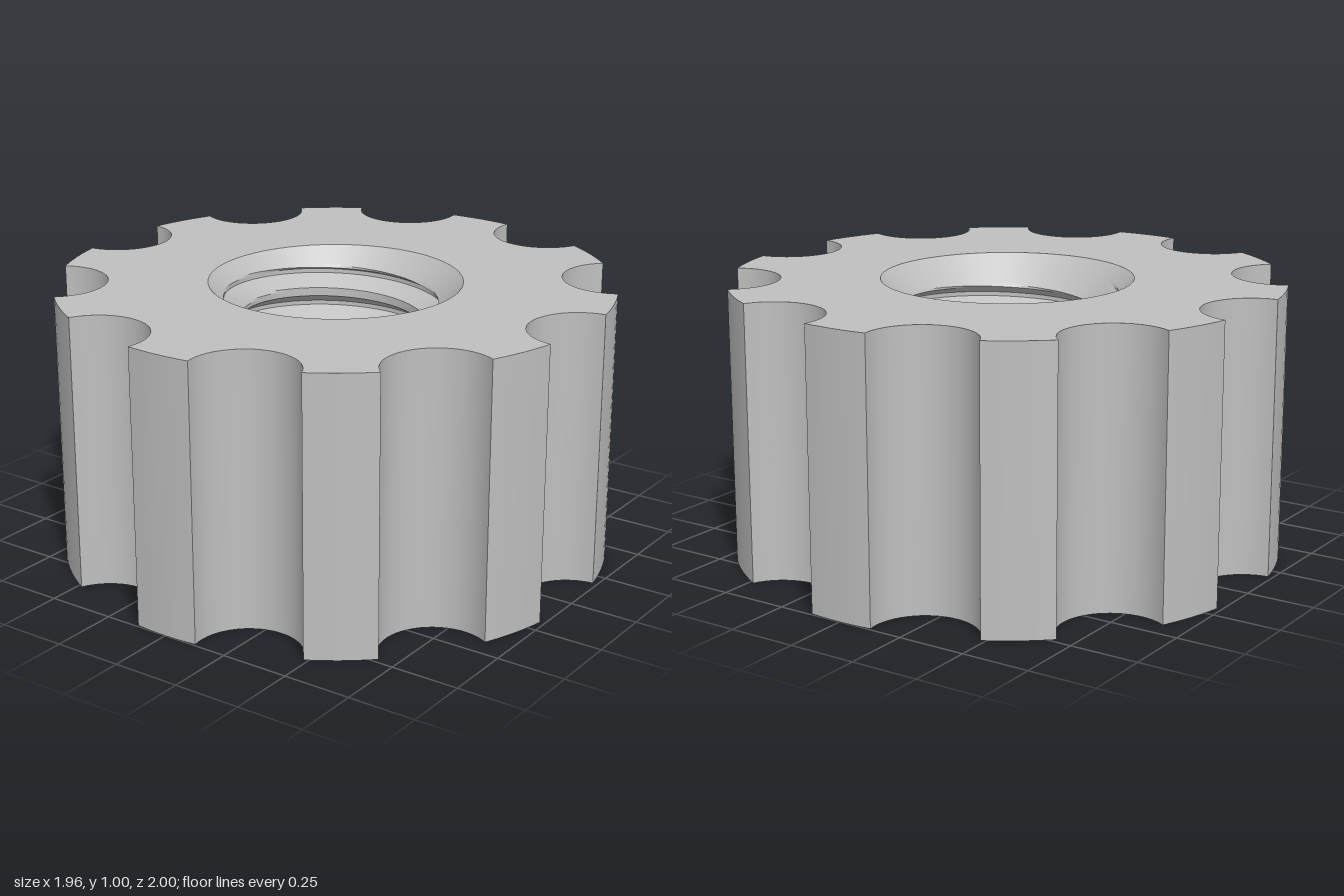
import * as THREE from 'three';
import { toCreasedNormals } from 'three/addons/utils/BufferGeometryUtils.js';

const HEIGHT = 1, NOTCHES = 10, NOTCH_R = 0.19;
const MOUTH_R = 0.455, ROOT_R = 0.4, CREST_R = 0.332, PITCH = 0.125, THREAD_SEGS = 120;

// Sheet of quads over point(i, j); empty triangles are dropped
function sheet(cols, rows, point, inward = false) {
  const positions = [];
  const tri = new THREE.Triangle();
  const add = (a, b, c) => {
    if (tri.set(a, b, c).getArea() < 1e-9) return;
    for (const p of inward ? [a, c, b] : [a, b, c]) positions.push(p.x, p.y, p.z);
  };
  for (let i = 0; i < cols; i++) {
    for (let j = 0; j < rows; j++) {
      const a = point(i, j), b = point(i + 1, j), c = point(i + 1, j + 1), d = point(i, j + 1);
      add(a, b, c);
      add(a, c, d);
    }
  }
  const geometry = new THREE.BufferGeometry();
  geometry.setAttribute('position', new THREE.Float32BufferAttribute(positions, 3));
  return toCreasedNormals(geometry, 0.4);
}

// Round outline with scooped finger notches
function gripOutline() {
  const points = [];
  const step = (Math.PI * 2) / NOTCHES;
  const half = 2 * Math.asin(NOTCH_R / 2); // half the notch opening, seen from the axis
  const sweep = Math.PI / 2 + half / 2;
  for (let n = 0; n < NOTCHES; n++) {
    const a = n * step;
    for (let k = 0; k <= 24; k++) {
      const t = a - sweep - (k / 24) * 2 * (Math.PI - sweep);
      points.push(new THREE.Vector2(Math.cos(a) + NOTCH_R * Math.cos(t), Math.sin(a) + NOTCH_R * Math.sin(t)));
    }
    for (let k = 1; k < 6; k++) {
      const t = a + half + (k / 6) * (step - 2 * half);
      points.push(new THREE.Vector2(Math.cos(t), Math.sin(t)));
    }
  }
  return points;
}

// Thread radius over one pitch in sixteenths: root, flank, crest, flank
function threadRadius(k) {
  const s = ((k % 16) + 16) % 16;
  const depth = s <= 2 ? 0 : s < 7 ? (s - 2) / 5 : s <= 11 ? 1 : (16 - s) / 5;
  return ROOT_R + (CREST_R - ROOT_R) * depth;
}

export function createModel() {
  const group = new THREE.Group();
  const metal = new THREE.MeshStandardMaterial({ color: 0xbfbfbf });
  metal.name = 'plain grey metal';
  const add = (name, geometry) => {
    const mesh = new THREE.Mesh(geometry, metal);
    mesh.name = name;
    group.add(mesh);
  };

  // Notched outer wall
  const outline = gripOutline();
  add('gripWall', sheet(outline.length, 1, (i, j) => {
    const p = outline[i % outline.length];
    return new THREE.Vector3(p.x, j * HEIGHT, -p.y);
  }));

  // Flat end faces with the round opening
  const face = new THREE.Shape(outline);
  const mouth = [];
  for (let i = 0; i < THREAD_SEGS; i++) {
    const t = (i / THREAD_SEGS) * Math.PI * 2;
    mouth.push(new THREE.Vector2(MOUTH_R * Math.cos(t), MOUTH_R * Math.sin(t)));
  }
  face.holes.push(new THREE.Path(mouth));
  add('topFace', new THREE.ShapeGeometry(face).rotateX(-Math.PI / 2).translate(0, HEIGHT, 0));
  add('bottomFace', new THREE.ShapeGeometry(face).rotateX(Math.PI / 2));

  // Right-handed threaded bore, cut by a 45 degree chamfer at both ends
  const firstRow = -16, rows = 150;
  add('threadedBore', sheet(THREAD_SEGS, rows, (i, j) => {
    const turn = i / THREAD_SEGS, k = firstRow + j;
    const y = THREE.MathUtils.clamp(PITCH * (k / 16 + turn - 0.1075), 0, HEIGHT);
    const r = Math.max(threadRadius(k), MOUTH_R - Math.min(y, HEIGHT - y));
    const t = turn * Math.PI * 2;
    return new THREE.Vector3(r * Math.cos(t), y, -r * Math.sin(t));
  }, true));

  return group;
}
